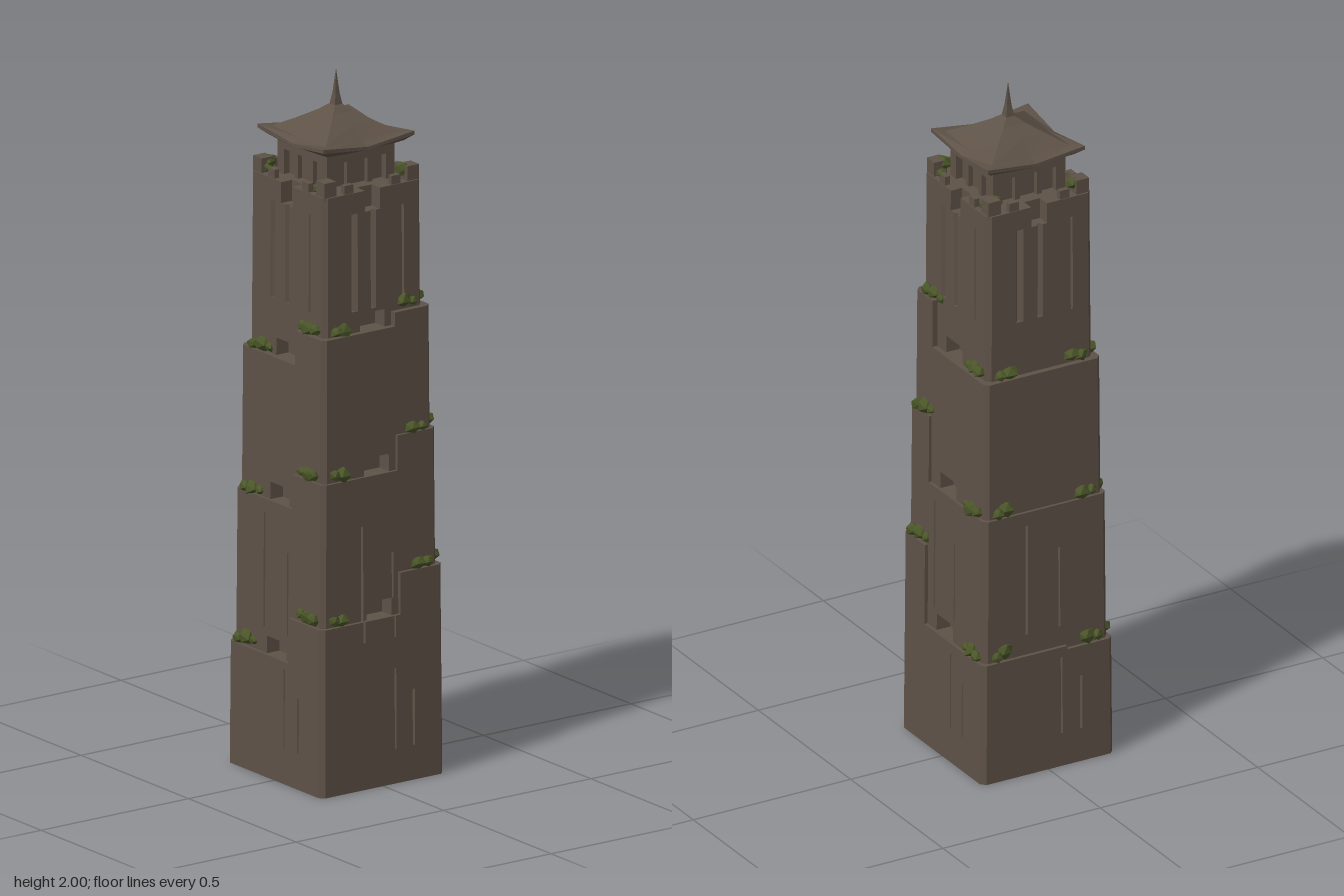
import * as THREE from 'three';
import { mergeGeometries } from 'three/addons/utils/BufferGeometryUtils.js';

// Ledge heights at the four corners: front -x, front +x, back +x, back -x
const LEDGES = [[0.35, 0.79, 1.2], [0.48, 0.89, 1.3], [0.6, 0.99, 1.34], [0.36, 0.79, 1.2]];
const CORNERS = [[-1, 1], [1, 1], [1, -1], [-1, -1]];
const WIDTHS = [0.22, 0.209, 0.2, 0.182];
const TOP = 1.7, DEPTH = 0.955;
const taper = y => 1 - 0.03 * y;

let seed = 7;
const rnd = () => (seed = (seed * 16807) % 2147483647) / 2147483647;

const cornerWidth = (k, y) => WIDTHS[LEDGES[k % 4].filter(h => y > h).length];

// Which corner's ledge carries the niche of each face (none on the -x face)
const NICHE_CORNER = [0, 1, 3, -1];
const NICHE_H = 0.05;

// Plan of the tower at one height: four faces with grooves, niches and steps
function planAt(y) {
  const shape = [];
  const tangents = [[1, 0], [0, -1], [-1, 0], [0, 1]];
  const normals = [[0, 1], [1, 0], [0, -1], [-1, 0]];
  for (let k = 0; k < 4; k++) {
    const a = cornerWidth(k, y), b = cornerWidth(k + 1, y), c = 0.014;
    const step = k === 2 ? -0.1 : 0.065;
    const pts = [[-a + c, 0]];
    const groove = (s, w, d) => pts.push([s - w, 0], [s, d], [s + w, 0]);
    const upper = y > 1.36 && y < 1.64;
    if (upper) groove(-0.07, 0.012, 0.016);
    else if (y > 0.42 && y < 0.75) groove(-0.065, 0.004, 0.012);
    const nc = NICHE_CORNER[k];
    const niche = nc >= 0 && LEDGES[nc].some(h => y > h && y < h + NICHE_H);
    if (niche) pts.push([-0.05, 0], [-0.05, 0.045], [0.04, 0.045], [0.04, 0]);
    else if (y > 1.64) pts.push([-0.03, 0], [-0.03, 0.04], [0.025, 0.04], [0.025, 0]);
    else if (upper) groove(0.0, 0.01, 0.014);
    else if ((y > 0.1 && y < 0.33) || (y > 0.42 && y < 0.66)) groove(0.045, 0.003, 0.01);
    if ((y > 0.1 && y < 0.26) || upper) groove(0.11, 0.004, 0.012);
    const at = pts.findIndex(p => p[0] > step);
    const line = pts.map(([s, d]) => [s, (s < step ? a : b) - d]);
    if (a !== b) line.splice(at < 0 ? line.length : at, 0, [step, a], [step, b]);
    line.push([b - c, b]);
    for (const [s, d] of line) {
      shape.push(new THREE.Vector2(
        tangents[k][0] * s + normals[k][0] * d,
        -(tangents[k][1] * s + normals[k][1] * d)));
    }
  }
  return new THREE.Shape(shape);
}

// Tower shaft, stacked in slices between the heights where the plan changes
function shaftGeometry() {
  const cuts = new Set([0, 0.1, 0.26, 0.33, 0.42, 0.66, 0.75, 1.36, 1.64, TOP]);
  LEDGES.flat().forEach(h => { cuts.add(h); cuts.add(+(h + NICHE_H).toFixed(3)); });
  const ys = [...cuts].sort((p, q) => p - q);
  const parts = [];
  for (let i = 0; i + 1 < ys.length; i++) {
    const h = ys[i + 1] - ys[i];
    const g = new THREE.ExtrudeGeometry(planAt((ys[i] + ys[i + 1]) / 2), { depth: h, bevelEnabled: false });
    g.rotateX(-Math.PI / 2).translate(0, ys[i], 0);
    parts.push(g);
  }
  const geo = mergeGeometries(parts);
  const p = geo.attributes.position;
  for (let i = 0; i < p.count; i++) {
    const f = taper(p.getY(i));
    p.setX(i, p.getX(i) * f);
    p.setZ(i, p.getZ(i) * f * DEPTH);
  }
  geo.computeVertexNormals();
  return geo;
}

// Surface through square rings [half width, height, corner lift], 8 points each
function squareRings(rings) {
  const pos = [], idx = [];
  for (const [w, y, lift] of rings) {
    for (let j = 0; j < 8; j++) {
      const corner = j % 2 === 0;
      const a = Math.PI / 4 + j * Math.PI / 4;
      const r = corner ? w * Math.SQRT2 : w * (1 - lift * 2);
      pos.push(Math.cos(a) * r, y + (corner ? lift : 0), -Math.sin(a) * r);
    }
  }
  for (let i = 0; i + 1 < rings.length; i++) {
    for (let j = 0; j < 8; j++) {
      const a = i * 8 + j, b = i * 8 + (j + 1) % 8;
      idx.push(a, b, b + 8, a, b + 8, a + 8);
    }
  }
  const g = new THREE.BufferGeometry();
  g.setAttribute('position', new THREE.Float32BufferAttribute(pos, 3));
  g.setIndex(idx);
  const flat = g.toNonIndexed();
  flat.computeVertexNormals();
  return flat;
}

// Faceted, slightly irregular clump of foliage
function bushGeometry(r) {
  const g = new THREE.IcosahedronGeometry(r, 0);
  const p = g.attributes.position, moved = new Map();
  for (let i = 0; i < p.count; i++) {
    const key = [p.getX(i), p.getY(i), p.getZ(i)].map(v => v.toFixed(4)).join();
    if (!moved.has(key)) moved.set(key, 0.75 + 0.5 * rnd());
    const f = moved.get(key);
    p.setXYZ(i, p.getX(i) * f, p.getY(i) * f * 0.85, p.getZ(i) * f);
  }
  g.computeVertexNormals();
  return g;
}

export function createModel() {
  const model = new THREE.Group();
  const stone = new THREE.MeshStandardMaterial({ color: 0x5e5247, flatShading: true });
  stone.name = 'stone';
  const leaf = new THREE.MeshStandardMaterial({ color: 0x4a5628, flatShading: true });
  leaf.name = 'leaf green';
  const add = (name, geo, mat, x = 0, y = 0, z = 0, parent = model) => {
    const m = new THREE.Mesh(geo, mat);
    m.name = name;
    m.position.set(x, y, z);
    parent.add(m);
    return m;
  };

  add('towerShaft', shaftGeometry(), stone);

  // Parapet stumps around the top terrace
  const parapet = new THREE.Group();
  parapet.name = 'parapet';
  model.add(parapet);
  for (const [sx, sz] of CORNERS) {
    add('cornerStump', new THREE.BoxGeometry(0.04, 0.05, 0.04), stone, sx * 0.147, 1.717, sz * 0.14, parapet);
    add('sideStump', new THREE.BoxGeometry(0.03, 0.03, 0.016), stone, sx * 0.08, 1.71, sz * 0.154, parapet);
    add('sideStump', new THREE.BoxGeometry(0.016, 0.03, 0.03), stone, sx * 0.162, 1.71, sz * 0.08, parapet);
  }

  // Pavilion with corner posts and doorway posts
  const pavilion = new THREE.Group();
  pavilion.name = 'pavilion';
  model.add(pavilion);
  add('pavilionCore', new THREE.BoxGeometry(0.19, 0.12, 0.19), stone, 0, 1.755, 0, pavilion);
  add('pavilionBeam', new THREE.BoxGeometry(0.23, 0.025, 0.23), stone, 0, 1.785, 0, pavilion);
  for (const [sx, sz] of CORNERS) {
    add('cornerPost', new THREE.BoxGeometry(0.03, 0.12, 0.03), stone, sx * 0.1, 1.755, sz * 0.1, pavilion);
    add('doorPost', new THREE.BoxGeometry(0.016, 0.1, 0.02), stone, sx * 0.035, 1.74, sz * 0.1, pavilion);
    add('doorPost', new THREE.BoxGeometry(0.02, 0.1, 0.016), stone, sx * 0.1, 1.74, sz * 0.035, pavilion);
  }

  // Swept roof with raised corners, and its spire
  add('roof', squareRings([
    [0.1, 1.79, 0], [0.132, 1.8, 0.006], [0.154, 1.806, 0.018], [0.154, 1.815, 0.02],
    [0.125, 1.826, 0.006], [0.075, 1.86, 0], [0.035, 1.885, 0], [0.01, 1.905, 0],
  ]), stone);
  add('spire', squareRings([[0.014, 1.895, 0], [0.007, 1.935, 0], [0.0005, 2, 0]]), stone);

  // Foliage clumps on every corner ledge, spread along both faces
  const foliage = new THREE.Group();
  foliage.name = 'foliage';
  model.add(foliage);
  CORNERS.forEach(([sx, sz], k) => {
    for (const h of LEDGES[k]) {
      const w = cornerWidth(k, h + 0.01) * taper(h);
      const spots = [[w - 0.005, w - 0.07, 0.027], [w + 0.004, w - 0.04, 0.018],
        [w - 0.065, w, 0.026], [w - 0.035, w + 0.006, 0.02], [w - 0.098, w, 0.016]];
      for (const [x, z, r] of spots) {
        add('bush', bushGeometry(r), leaf, sx * x, h + 0.012 + rnd() * 0.012, sz * z * DEPTH, foliage);
      }
    }
    add('topBush', bushGeometry(0.022), leaf, sx * 0.14, 1.728, sz * 0.125, foliage);
    add('topBush', bushGeometry(0.015), leaf, sx * 0.115, 1.715, sz * 0.145, foliage);
  });
  return model;
}
